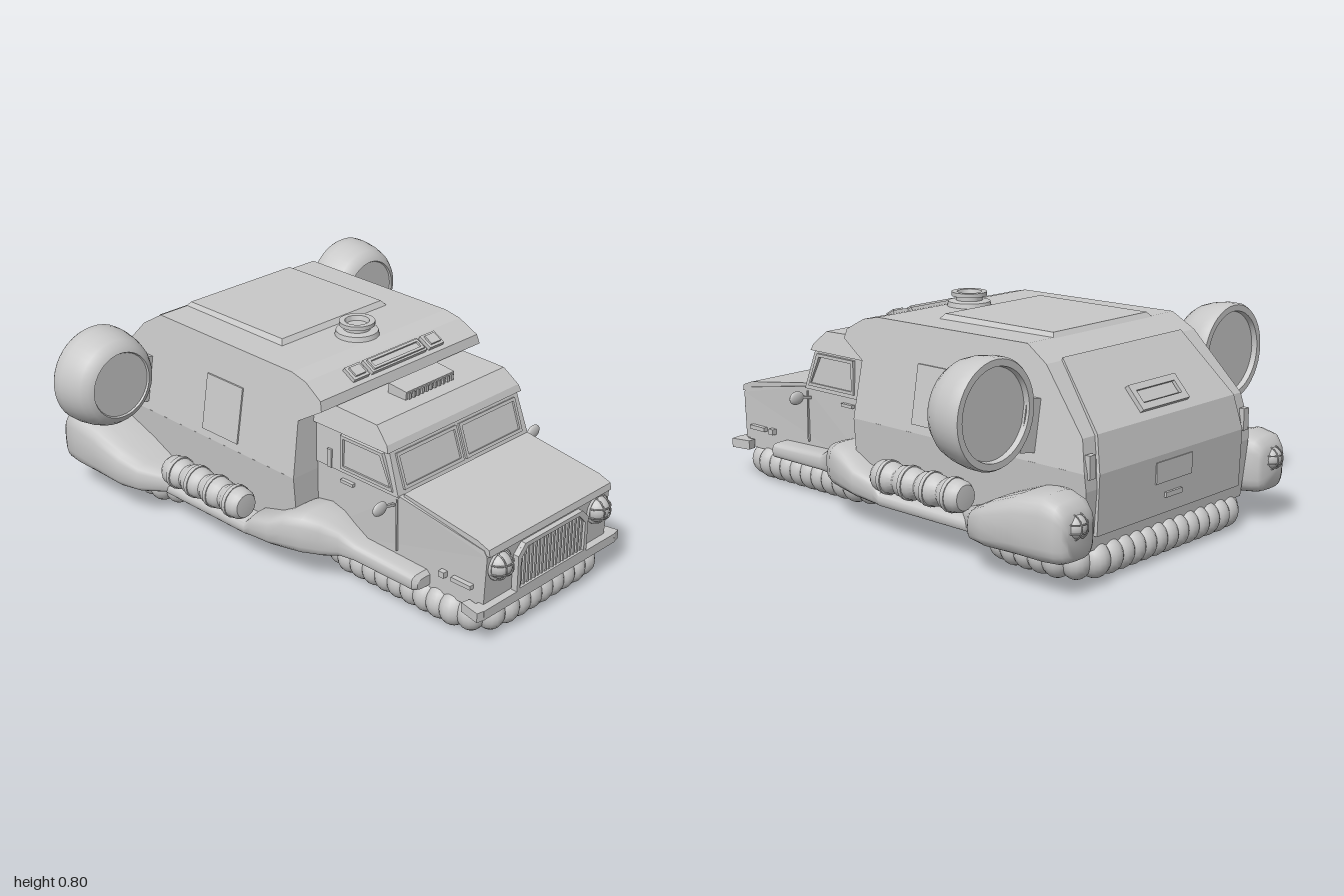
import * as THREE from 'three';
import { toCreasedNormals } from 'three/addons/utils/BufferGeometryUtils.js';

const grey = new THREE.MeshStandardMaterial({ color: 0xc8c8c8 });
grey.name = 'hull grey';

export function createModel() {
  const root = new THREE.Group();

  const add = (name, geo, x = 0, y = 0, z = 0, rx = 0, ry = 0, rz = 0, parent = root) => {
    const m = new THREE.Mesh(geo, grey);
    m.name = name;
    m.position.set(x, y, z);
    m.rotation.set(rx, ry, rz);
    parent.add(m);
    return m;
  };
  const box = (name, w, h, d, x, y, z, rx = 0, rz = 0) =>
    add(name, new THREE.BoxGeometry(w, h, d), x, y, z, rx, 0, rz);
  const both = (fn) => [1, -1].forEach((s) => fn(s, s > 0 ? 'left' : 'right'));

  // Side profile [z, y] spread across x to a half width that depends on height
  const slab = (name, pts, half) => {
    const g = new THREE.ExtrudeGeometry(new THREE.Shape(pts.map((p) => new THREE.Vector2(...p))),
      { depth: 2, bevelEnabled: false });
    g.translate(0, 0, -1).rotateY(-Math.PI / 2);
    const p = g.attributes.position;
    for (let i = 0; i < p.count; i++) p.setX(i, p.getX(i) * half(p.getY(i), p.getZ(i)));
    g.computeVertexNormals();
    return add(name, g);
  };

  // Flat outline with an inner hole
  const frameGeo = (pts, inset, depth) => {
    const s = new THREE.Shape(pts.map((p) => new THREE.Vector2(...p)));
    const cx = pts.reduce((a, p) => a + p[0], 0) / pts.length;
    const cy = pts.reduce((a, p) => a + p[1], 0) / pts.length;
    s.holes.push(new THREE.Path(pts.map(([x, y]) =>
      new THREE.Vector2(x - Math.sign(x - cx) * inset, y - Math.sign(y - cy) * inset))));
    return new THREE.ExtrudeGeometry(s, { depth, bevelEnabled: false });
  };
  const rect = (w, h) => [[-w / 2, -h / 2], [w / 2, -h / 2], [w / 2, h / 2], [-w / 2, h / 2]];

  // Rounded body lofted along z from rows of [z, inner x, outer x, bottom y, top y]
  const loft = (name, rows, side) => {
    const n = 24, pos = [], idx = [];
    const e = (v) => Math.sign(v) * Math.abs(v) ** 0.55;
    rows.forEach(([z, xi, xo, yb, yt]) => {
      for (let i = 0; i < n; i++) {
        const a = (i / n) * Math.PI * 2;
        pos.push(side * ((xi + xo) / 2 + e(Math.cos(a)) * (xo - xi) / 2),
          (yb + yt) / 2 + e(Math.sin(a)) * (yt - yb) / 2, z);
      }
    });
    const tri = (a, b, c) => (side > 0 ? idx.push(a, b, c) : idx.push(a, c, b));
    for (let r = 0; r < rows.length - 1; r++) {
      for (let i = 0; i < n; i++) {
        const a = r * n + i, b = r * n + (i + 1) % n;
        tri(a, a + n, b);
        tri(b, a + n, b + n);
      }
    }
    const last = (rows.length - 1) * n;
    for (let i = 1; i < n - 1; i++) {
      tri(0, i, i + 1);
      tri(last, last + i + 1, last + i);
    }
    const g = new THREE.BufferGeometry();
    g.setAttribute('position', new THREE.Float32BufferAttribute(pos, 3));
    g.setIndex(idx);
    g.computeVertexNormals();
    return add(name, toCreasedNormals(g, 0.7));
  };

  // Profile [radius, z] turned around the z axis
  const turnedZ = (pts, seg) => toCreasedNormals(
    new THREE.LatheGeometry(pts.map((p) => new THREE.Vector2(...p)), seg).rotateX(Math.PI / 2), 0.6);

  // Rear body
  const bodyHalf = (y) => 0.46 - (y - 0.38) * 0.17;
  slab('lowerBody', [[0.165, 0.11], [0.165, 0.38], [-0.91, 0.38], [-0.915, 0.32], [-0.9, 0.11]],
    (y) => 0.44 + (y - 0.11) * 0.075);
  slab('upperBody', [[0.165, 0.38], [0.155, 0.59], [0.26, 0.655], [0.25, 0.69], [0.17, 0.735],
    [0.1, 0.75], [-0.61, 0.755], [-0.7, 0.7], [-0.885, 0.49], [-0.91, 0.38]], bodyHalf);
  slab('sidePanel', [[-0.13, 0.41], [-0.13, 0.62], [-0.32, 0.62], [-0.32, 0.41]], (y) => bodyHalf(y) + 0.006);
  slab('roofPanel', [[-0.08, 0.745], [-0.1, 0.77], [-0.6, 0.77], [-0.62, 0.745]],
    (y) => (y > 0.76 ? 0.255 : 0.275));
  slab('rearHatch', [[-0.7, 0.71], [-0.897, 0.495], [-0.925, 0.37], [-0.918, 0.16], [-0.87, 0.16],
    [-0.87, 0.4], [-0.7, 0.6]], (y) => 0.33 + (0.69 - Math.max(y, 0.42)) * 0.26);
  add('rearWindowFrame', frameGeo(rect(0.26, 0.1), 0.025, 0.02), 0, 0.552, -0.84, -2.4);
  box('rearWindow', 0.2, 0.045, 0.02, 0, 0.555, -0.84, -2.4);
  box('rearPlate', 0.2, 0.075, 0.008, 0, 0.31, -0.924);
  box('rearHandle', 0.09, 0.018, 0.015, 0, 0.225, -0.922);
  both((s, n) => box(n + 'RearMarker', 0.03, 0.08, 0.02, s * 0.43, 0.4, -0.91));

  // Roof vent
  add('roofVent', toCreasedNormals(new THREE.LatheGeometry([[0.082, 0.75], [0.078, 0.768], [0.05, 0.772],
    [0.05, 0.785], [0.066, 0.788], [0.066, 0.803], [0.045, 0.803], [0.04, 0.785], [0, 0.785]]
    .map((p) => new THREE.Vector2(...p)), 32), 0.5), 0, 0, 0.025);

  // Lamps on the overhang
  box('overhangLampBar', 0.28, 0.06, 0.025, 0, 0.715, 0.21, -1.06);
  add('overhangLampFrame', frameGeo(rect(0.26, 0.045), 0.01, 0.008), 0, 0.726, 0.217, -1.06);
  both((s, n) => {
    box(n + 'OverhangLamp', 0.075, 0.06, 0.025, s * 0.195, 0.715, 0.21, -1.06);
    box(n + 'OverhangLens', 0.05, 0.04, 0.008, s * 0.195, 0.729, 0.218, -1.06);
  });

  // Cab
  slab('hood', [[0.15, 0.115], [0.935, 0.115], [0.945, 0.33], [0.93, 0.352], [0.56, 0.415], [0.15, 0.415]],
    (y, z) => 0.34 - (z > 0.9 ? 0.01 : 0));
  slab('hoodLid', [[0.955, 0.335], [0.95, 0.36], [0.9, 0.378], [0.57, 0.425], [0.57, 0.405], [0.9, 0.34]], () => 0.328);
  slab('cabin', [[0.15, 0.41], [0.56, 0.41], [0.505, 0.57], [0.15, 0.57]], (y) => 0.345 - (y - 0.41) * 0.06);
  slab('cabRoof', [[0.15, 0.565], [0.515, 0.565], [0.505, 0.59], [0.445, 0.643], [0.15, 0.65]],
    (y) => 0.352 - (y - 0.565) * 0.25);
  box('cabRoofLamp', 0.25, 0.04, 0.085, 0, 0.66, 0.343, 0.1);
  for (let i = 0; i < 11; i++) box('roofLampSlat', 0.01, 0.022, 0.01, -0.11 + i * 0.022, 0.658, 0.388);
  both((s, n) => {
    add(n + 'WindshieldFrame', frameGeo(rect(0.305, 0.13), 0.012, 0.012), s * 0.16, 0.489, 0.529, -0.34);
    box(n + 'WindshieldPane', 0.28, 0.106, 0.006, s * 0.16, 0.489, 0.531, -0.34);
    // Side window, door trim and markers
    const win = frameGeo([[0.535, 0.425], [0.485, 0.555], [0.285, 0.555], [0.285, 0.425]], 0.012, 0.012);
    win.translate(0, 0, -0.006).rotateY(-Math.PI / 2);
    add(n + 'SideWindowFrame', win, s * 0.344);
    box(n + 'DoorHandle', 0.018, 0.012, 0.06, s * 0.345, 0.38, 0.32);
    box(n + 'DoorSlot', 0.014, 0.07, 0.02, s * 0.342, 0.445, 0.23);
    box(n + 'DoorSeam', 0.008, 0.2, 0.006, s * 0.34, 0.3, 0.55);
    box(n + 'HoodMarker', 0.02, 0.016, 0.085, s * 0.34, 0.2, 0.85);
    box(n + 'HoodMarkerLamp', 0.024, 0.022, 0.025, s * 0.34, 0.2, 0.765);
    // Mirror
    add(n + 'Mirror', new THREE.SphereGeometry(1, 20, 12), s * 0.41, 0.385, 0.535).scale.set(0.034, 0.026, 0.012);
    box(n + 'MirrorStem', 0.06, 0.01, 0.01, s * 0.362, 0.38, 0.535, 0, s * 0.2);
  });

  // Grille and bumper
  const gs = [[-0.19, 0.14], [0.19, 0.14], [0.19, 0.285], [0.155, 0.322], [-0.155, 0.322], [-0.19, 0.285]];
  add('grilleFrame', frameGeo(gs, 0.016, 0.025), 0, 0, 0.94);
  for (let i = 0; i < 18; i++) box('grilleBar', 0.009, 0.15, 0.02, -0.165 + i * 0.0194, 0.232, 0.948);
  box('bumper', 0.72, 0.036, 0.05, 0, 0.13, 0.94);
  both((s, n) => {
    const end = box(n + 'BumperEnd', 0.035, 0.036, 0.085, s * 0.362, 0.13, 0.92);
    end.rotation.y = s * 0.2;
  });

  // Round lamp with a wire cage
  const cagedLamp = (name, x, y, z, r, ry) => {
    const g = new THREE.Group();
    g.name = name;
    g.position.set(x, y, z);
    g.rotation.y = ry;
    root.add(g);
    add('lens', new THREE.SphereGeometry(r * 0.86, 20, 14), 0, 0, 0, 0, 0, 0, g);
    add('rim', new THREE.TorusGeometry(r * 0.92, r * 0.1, 8, 28), 0, 0, 0.004, 0, 0, 0, g);
    const wire = new THREE.TorusGeometry(r * 0.94, r * 0.05, 6, 20, Math.PI);
    [-0.35, 0.35].forEach((t) => {
      const k = Math.sqrt(1 - t * t);
      add('cageHoop', wire, 0, t * r * 0.9, 0, Math.PI / 2, 0, 0, g).scale.set(k, k, 1);
      const v = add('cageUpright', wire, t * r * 0.9, 0, 0, 0, -Math.PI / 2, 0, g);
      v.rotation.set(Math.PI / 2, Math.PI / 2, 0);
      v.scale.set(k, k, 1);
    });
  };

  both((s, n) => {
    cagedLamp(n + 'Headlight', s * 0.265, 0.28, 0.942, 0.056, 0);
    cagedLamp(n + 'TailLight', s * 0.552, 0.24, -0.95, 0.048, Math.PI);

    // Fenders and running boards
    loft(n + 'FrontFender', [
      [0.7, 0.3, 0.395, 0.125, 0.165], [0.685, 0.3, 0.41, 0.12, 0.18], [0.41, 0.3, 0.412, 0.12, 0.19],
      [0.35, 0.3, 0.43, 0.12, 0.225], [0.3, 0.3, 0.475, 0.115, 0.26], [0.24, 0.3, 0.515, 0.115, 0.278],
      [0.17, 0.3, 0.53, 0.11, 0.265], [0.1, 0.3, 0.535, 0.103, 0.225], [0, 0.3, 0.53, 0.095, 0.195],
      [-0.03, 0.3, 0.53, 0.095, 0.16], [-0.47, 0.3, 0.53, 0.095, 0.155]], s);
    loft(n + 'RearFender', [
      [-0.4, 0.3, 0.49, 0.1, 0.165], [-0.47, 0.3, 0.54, 0.1, 0.19], [-0.54, 0.32, 0.61, 0.1, 0.225],
      [-0.62, 0.34, 0.638, 0.1, 0.265], [-0.75, 0.36, 0.646, 0.105, 0.315], [-0.87, 0.44, 0.646, 0.11, 0.335],
      [-0.93, 0.455, 0.64, 0.115, 0.322], [-0.955, 0.465, 0.625, 0.125, 0.295], [-0.965, 0.48, 0.605, 0.14, 0.27]], s);

    // Strapped roll
    const roll = [[0, -0.45]];
    for (let k = 0; k < 4; k++) {
      const z = -0.45 + k * 0.1075;
      roll.push([0.045, z + 0.004], [0.056, z + 0.02], [0.06, z + 0.054], [0.056, z + 0.088], [0.045, z + 0.1035]);
    }
    roll.push([0, -0.02]);
    add(n + 'CargoRoll', turnedZ(roll, 20), s * 0.518, 0.22, 0);
    [-0.39, -0.29, -0.185, -0.08].forEach((z) =>
      add(n + 'RollStrap', new THREE.CylinderGeometry(0.063, 0.063, 0.016, 20), s * 0.518, 0.22, z, Math.PI / 2));

    // Round engine pod and its arm
    add(n + 'Pod', turnedZ([[0, -0.685], [0.153, -0.685], [0.157, -0.705], [0.18, -0.705], [0.186, -0.695],
      [0.186, -0.66], [0.178, -0.61], [0.165, -0.57], [0.148, -0.545], [0.126, -0.535], [0.122, -0.542],
      [0, -0.542]], 40), s * 0.65, 0.575, 0);
    box(n + 'PodArm', 0.14, 0.18, 0.06, s * 0.44, 0.5, -0.665, 0, s * 0.17);
  });

  // Inflated skirt rings made of bulging segments
  const bulge = new THREE.SphereGeometry(0.065, 18, 12);
  const skirt = (name, hx, hz, cz, r, count) => {
    const g = new THREE.Group();
    g.name = name;
    g.position.set(0, 0.066, cz);
    root.add(g);
    const p = new THREE.Path();
    p.absarc(hx - r, hz - r, r, 0, Math.PI / 2);
    p.absarc(r - hx, hz - r, r, Math.PI / 2, Math.PI);
    p.absarc(r - hx, r - hz, r, Math.PI, Math.PI * 1.5);
    p.absarc(hx - r, r - hz, r, Math.PI * 1.5, Math.PI * 2);
    p.closePath();
    for (let i = 0; i < count; i++) {
      const c = p.getPointAt(i / count), t = p.getTangentAt(i / count);
      add('skirtSegment', bulge, c.x, 0, c.y, 0, Math.atan2(t.x, t.y), 0, g).scale.z = 0.84;
    }
  };
  skirt('frontSkirt', 0.305, 0.345, 0.555, 0.1, 40);
  skirt('rearSkirt', 0.435, 0.185, -0.688, 0.1, 38);

  return root;
}
